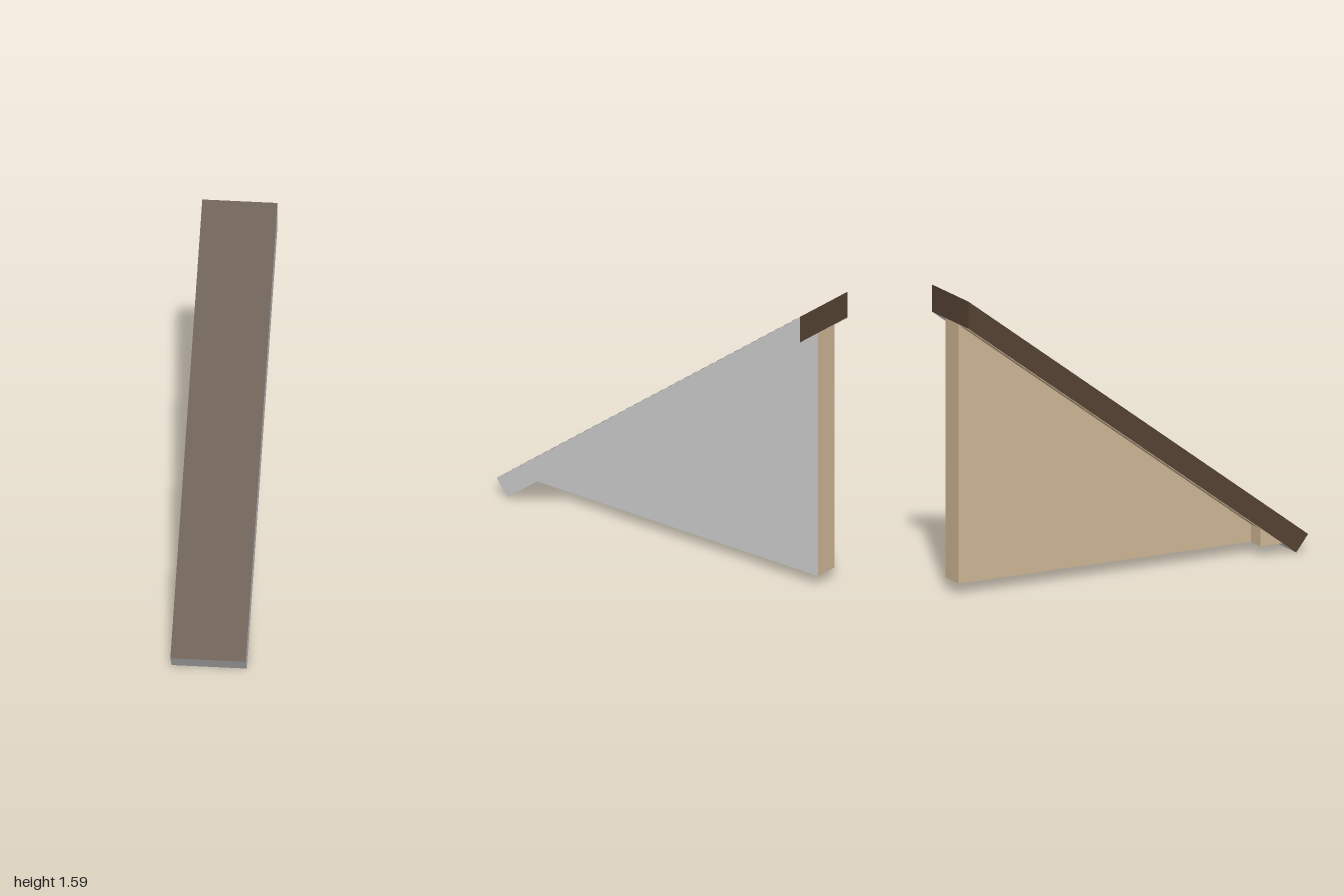
import * as THREE from 'three';

const brown = new THREE.MeshStandardMaterial({ color: 0x554233 });
const tan = new THREE.MeshStandardMaterial({ color: 0xccb493 });
const grey = new THREE.MeshStandardMaterial({ color: 0xcccccc });
brown.name = 'darkBrown';
tan.name = 'tan';
grey.name = 'paleGrey';
const palette = [brown, tan, grey];

const HALF = 0.195;            // half width of the slab
const WEB = [-0.09, 0.048];    // web thickness range in x
const BASE = 0.06;             // underside of the web
const FOOT_Z = 0.93;           // lowest edge of the slab
const SLOPE = 1.445 / 1.93;
const under = (z) => SLOPE * (FOOT_Z - z);   // height of the slab's underside
const tipZ = FOOT_Z - BASE / SLOPE;

// Prism from a (z, y) section between two x values; pick(normal) gives each face its colour.
function prism(name, section, x0, x1, pick) {
  const shape = new THREE.Shape(section.map(([z, y]) => new THREE.Vector2(-z, y)));
  const geo = new THREE.ExtrudeGeometry(shape, { depth: x1 - x0, bevelEnabled: false });
  geo.rotateY(Math.PI / 2).translate(x0, 0, 0);
  geo.clearGroups();
  const n = geo.attributes.normal;
  for (let i = 0; i < n.count; i += 3) {
    const normal = new THREE.Vector3().fromBufferAttribute(n, i);
    geo.addGroup(i, 3, palette.indexOf(pick(normal)));
  }
  const mesh = new THREE.Mesh(geo, palette);
  mesh.name = name;
  return mesh;
}

export function createModel() {
  const group = new THREE.Group();
  group.name = 'slopedBracket';

  // Sloping slab: brown top, back end and right side; the rest unpainted
  const slab = [[1, 0.09], [FOOT_Z, 0], [-1, under(-1)], [-1, 1.59]];
  group.add(prism('slopingSlab', slab, -HALF, HALF, (n) =>
    n.x > 0.5 || (n.y < -0.1 && Math.abs(n.x) < 0.5) ? grey : brown));

  // Triangular web below the slab, unpainted on its left side
  const web = [[-1, BASE], [tipZ, BASE], [-1, under(-1)]];
  group.add(prism('triangularWeb', web, WEB[0], WEB[1], (n) => (n.x > 0.5 ? grey : tan)));

  // Small toe block filling the lower corner beside the web
  const toeZ = 0.72;
  const toe = [[toeZ, BASE], [tipZ, BASE], [toeZ, under(toeZ)]];
  group.add(prism('toeBlock', toe, -HALF, WEB[0], () => tan));

  // Thin tan lining on the slab's underside, right of the web
  const t = 0.004;
  const lining = [[-1, under(-1) - t], [toeZ, under(toeZ) - t], [toeZ, under(toeZ)], [-1, under(-1)]];
  group.add(prism('undersideLining', lining, -HALF, WEB[0], () => tan));

  return group;
}
